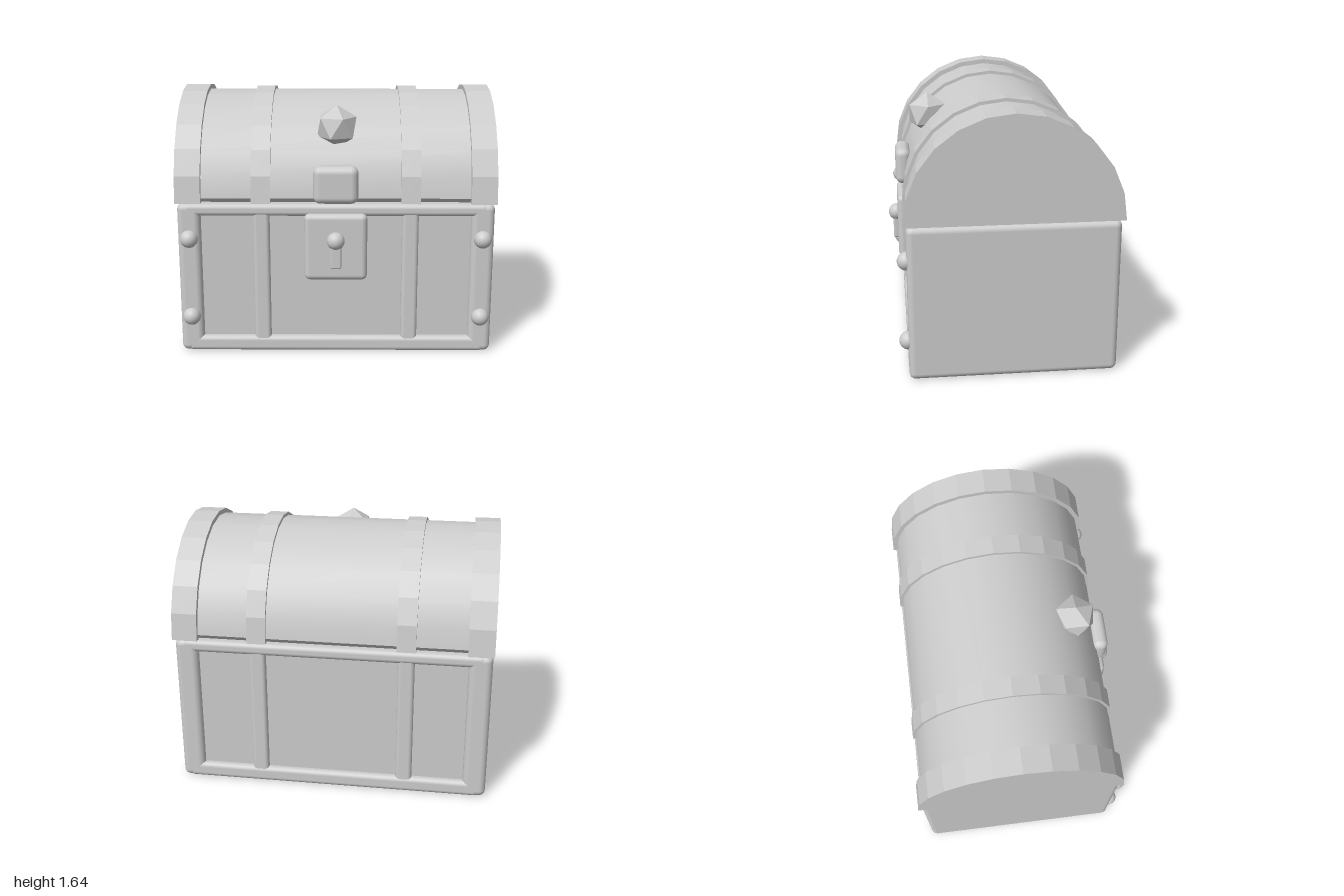
import * as THREE from 'three';
import { toCreasedNormals } from 'three/addons/utils/BufferGeometryUtils.js';
import { RoundedBoxGeometry } from 'three/addons/geometries/RoundedBoxGeometry.js';

const CZ = -0.04;       // depth centre of the chest body
const LID_Y = 0.985;    // underside of the lid

export function createModel() {
  const model = new THREE.Group();
  model.name = 'treasureChest';
  const grey = new THREE.MeshStandardMaterial({ color: 0xcccccc });
  grey.name = 'grey';

  const add = (parent, name, geometry, x = 0, y = 0, z = 0) => {
    const mesh = new THREE.Mesh(geometry, grey);
    mesh.name = name;
    mesh.position.set(x, y, z);
    parent.add(mesh);
    return mesh;
  };

  // Rounded box given by its limits
  const block = (parent, name, x0, x1, y0, y1, z0, z1, r) =>
    add(parent, name, new RoundedBoxGeometry(x1 - x0, y1 - y0, z1 - z0, 3, r),
      (x0 + x1) / 2, (y0 + y1) / 2, (z0 + z1) / 2);

  // Half-round solid running along x; inset rolls the lower edge inwards
  const arch = (parent, name, x0, x1, radius, inset, crease) => {
    const points = [];
    if (inset) points.push(new THREE.Vector2(radius - inset, 0));
    for (let i = 0; i <= 12; i++) {
      const a = (i / 12) * Math.PI;
      const y = Math.max(Math.sin(a) * radius, inset);
      points.push(new THREE.Vector2(Math.cos(a) * radius, y));
    }
    if (inset) points.push(new THREE.Vector2(inset - radius, 0));
    const geometry = new THREE.ExtrudeGeometry(new THREE.Shape(points),
      { depth: x1 - x0, bevelEnabled: false });
    geometry.rotateY(Math.PI / 2);
    return add(parent, name, toCreasedNormals(geometry, crease), x0, LID_Y, CZ);
  };

  // Base: recessed panels inside a rounded frame
  const base = new THREE.Group();
  base.name = 'base';
  model.add(base);
  const back = CZ - 0.64, front = CZ + 0.64;
  add(base, 'panels', new THREE.BoxGeometry(1.8, 0.92, 1.2), 0, 0.49, CZ);
  block(base, 'bottomRail', -0.95, 0.95, 0, 0.1, back, front, 0.03);
  block(base, 'topRail', -0.95, 0.95, 0.9, 0.978, back, front, 0.03);
  for (const s of [-1, 1]) {
    const end = s < 0 ? 'right' : 'left';
    block(base, end + 'End', s * 0.92 - 0.073, s * 0.92 + 0.073, 0, 0.98, back, front, 0.04);
    block(base, end + 'Stile', s * 0.467 - 0.052, s * 0.467 + 0.052, 0.06, 0.94, back + 0.006, front - 0.006, 0.025);
    for (const y of [0.24, 0.755]) {
      add(base, end + 'Stud', new THREE.SphereGeometry(0.056, 20, 14), s * 0.92, y, 0.6);
    }
  }

  // Lid: smooth barrel with faceted bands
  const lid = new THREE.Group();
  lid.name = 'lid';
  model.add(lid);
  arch(lid, 'barrel', -0.86, 0.86, 0.627, 0.03, 0.5);
  for (const s of [-1, 1]) {
    const end = s < 0 ? 'right' : 'left';
    arch(lid, end + 'EndBand', s * 0.92 - 0.08, s * 0.92 + 0.08, 0.658, 0, 0.1);
    arch(lid, end + 'MiddleBand', s * 0.467 - 0.06, s * 0.467 + 0.06, 0.648, 0, 0.1);
  }

  // Hasp, lock plate and keyhole
  const lock = new THREE.Group();
  lock.name = 'lock';
  model.add(lock);
  block(lock, 'hasp', -0.14, 0.14, 0.985, 1.222, 0.54, 0.64, 0.045);
  block(lock, 'lockPlate', -0.197, 0.197, 0.492, 0.922, 0.545, 0.635, 0.035);
  block(lock, 'keyholeSlot', -0.035, 0.035, 0.577, 0.76, 0.6, 0.665, 0.012);
  add(lock, 'keyholeKnob', new THREE.SphereGeometry(0.056, 20, 14), 0, 0.755, 0.639);

  // Faceted gem standing on a corner, set into the lid
  const gem = new THREE.IcosahedronGeometry(0.138, 0);
  gem.rotateZ(-Math.atan(2 / (1 + Math.sqrt(5))));
  add(model, 'gem', gem, 0.005, 1.438, 0.42);

  return model;
}
